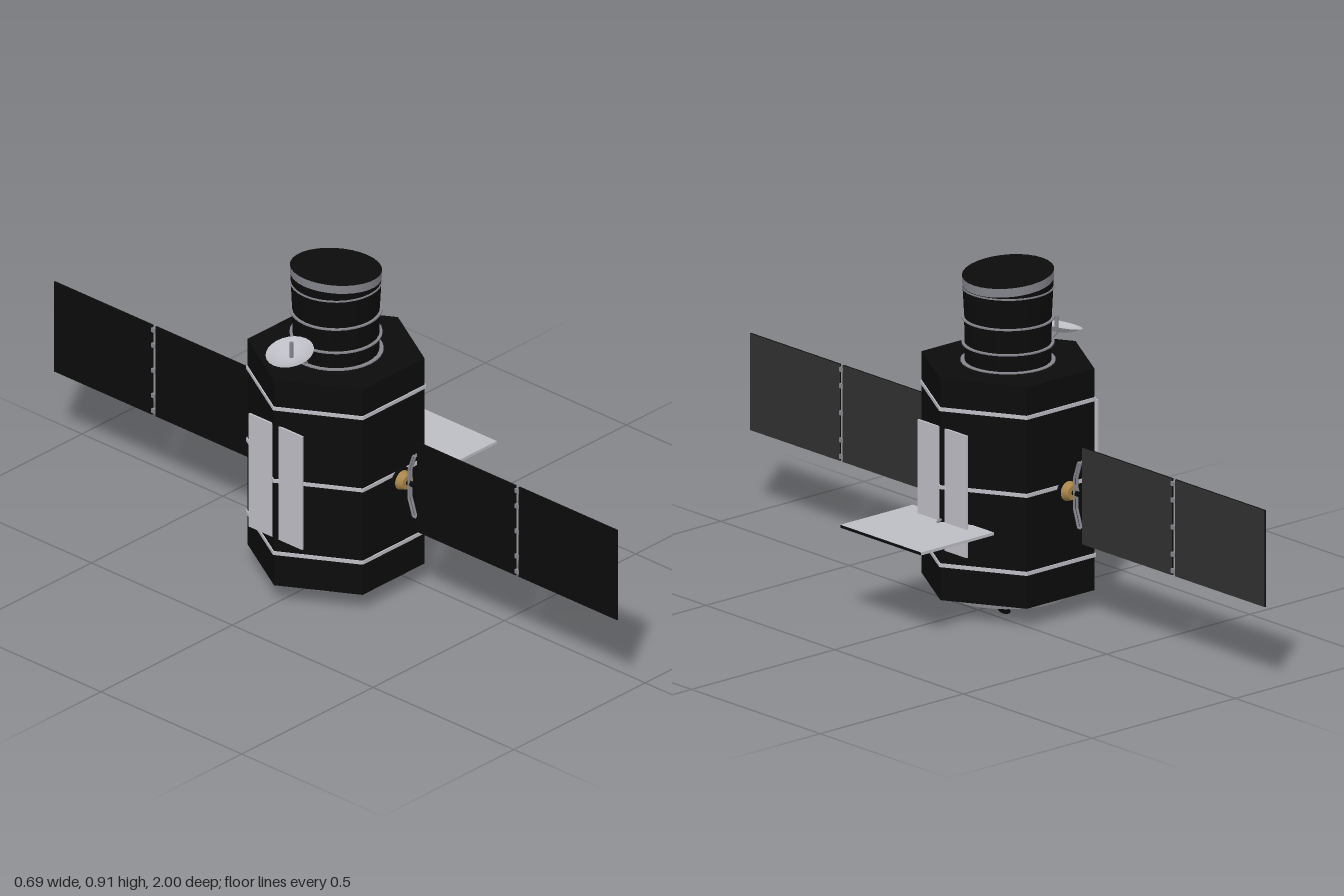
import * as THREE from 'three';

const mat = (name, color) => Object.assign(new THREE.MeshStandardMaterial({ color }), { name });

export function createModel() {
  const root = new THREE.Group();
  root.name = 'spaceTelescope';
  const black = mat('black foil', 0x0b0b0b);
  const solar = mat('solar grey', 0x303030);
  const light = mat('light grey', 0xbcbcc4);
  const metal = mat('metal grey', 0x84848c);
  const gold = mat('gold', 0xa8854a);
  light.side = THREE.DoubleSide;
  const CX = -0.105; // axis of the body

  const add = (name, geo, material, x, y, z, parent = root) => {
    const m = new THREE.Mesh(geo, material);
    m.name = name;
    m.position.set(x, y, z);
    parent.add(m);
    return m;
  };
  const box = (name, w, h, d, material, x, y, z, parent) =>
    add(name, new THREE.BoxGeometry(w, h, d), material, x, y, z, parent);
  const cyl = (name, rt, rb, h, material, x, y, z, parent, seg = 32) =>
    add(name, new THREE.CylinderGeometry(rt, rb, h, seg), material, x, y, z, parent);
  const hex = (name, r, h, material, y) => {
    const g = new THREE.CylinderGeometry(r, r, h, 6, 1, false, Math.PI / 2).toNonIndexed();
    g.computeVertexNormals();
    return add(name, g, material, CX, y, 0);
  };
  // Straight round bar between two points
  const bar = (name, a, b, r, material, parent = root) => {
    const path = new THREE.LineCurve3(new THREE.Vector3(...a), new THREE.Vector3(...b));
    return add(name, new THREE.TubeGeometry(path, 1, r, 8), material, 0, 0, 0, parent);
  };

  // Hexagonal body with three hoops
  hex('body', 0.236, 0.605, black, 0.3575);
  for (const y of [0.151, 0.364, 0.577]) hex('bodyHoop', 0.24, 0.01, light, y);

  // Telescope barrel, flared near a slanted top
  const slant = (g, above) => {
    const p = g.attributes.position;
    for (let i = 0; i < p.count; i++) if (p.getY(i) > above) p.setY(i, p.getY(i) - 0.1 * p.getX(i));
    return g;
  };
  cyl('barrelLower', 0.114, 0.113, 0.12, black, CX, 0.72, 0);
  add('barrelUpper', slant(new THREE.CylinderGeometry(0.119, 0.114, 0.1, 32), 0), black, CX, 0.83, 0);
  add('slantedRim', slant(new THREE.CylinderGeometry(0.12, 0.119, 0.024, 32), -1), [metal, black, metal], CX, 0.889, 0);
  for (const y of [0.71, 0.779, 0.862]) cyl('barrelRing', 0.121, 0.121, 0.004, metal, CX, y, 0);
  cyl('barrelBaseRing', 0.124, 0.124, 0.004, metal, CX, 0.661, 0);

  // Paired radiator plates on both side corners
  for (const x of [-0.333, 0.123])
    for (const s of [-1, 1]) box('sidePlate', 0.006, 0.333, 0.084, light, x, 0.358, s * 0.053);

  // Open door with its hinge
  add('door', new THREE.BoxGeometry(0.254, 0.008, 0.314),
    [black, light, light, light, light, light], 0.214, 0.265, -0.002);
  bar('doorHinge', [0.125, 0.277, 0], [0.145, 0.268, 0], 0.004, metal);

  // Solar wings, mirrored front and back
  for (const s of [1, -1]) {
    const wing = new THREE.Group();
    wing.name = s > 0 ? 'frontWing' : 'backWing';
    wing.position.x = CX;
    if (s < 0) wing.scale.z = -1;
    root.add(wing);
    const faces = [solar, black, black, black, black, black];
    for (const z of [0.465, 0.8255])
      add('solarPanel', new THREE.BoxGeometry(0.005, 0.264, 0.349), faces, 0, 0.359, z, wing);
    for (const y of [0.24, 0.285, 0.359, 0.433, 0.478])
      box('panelHinge', 0.01, 0.012, 0.014, metal, 0, y, 0.645, wing);
    // Mount: shaft, dark collar and gold drive
    const round = (name, rt, rb, h, m, z) => {
      cyl(name, rt, rb, h, m, 0, 0.359, z, wing, 24).rotation.x = Math.PI / 2;
    };
    round('shaft', 0.007, 0.007, 0.08, black, 0.235);
    round('collar', 0.036, 0.036, 0.005, black, 0.232);
    round('drive', 0.02, 0.027, 0.02, gold, 0.245);
    // Bent bracket holding the panel
    for (const x of [-0.005, 0.005]) {
      const pts = [[0.292, 0.448], [0.279, 0.448], [0.263, 0.4], [0.263, 0.318], [0.279, 0.27], [0.292, 0.27]];
      for (let i = 0; i < 5; i++)
        bar('bracket', [x, pts[i][1], pts[i][0]], [x, pts[i + 1][1], pts[i + 1][0]], 0.0035, metal, wing);
    }
  }

  // Tilted dish antenna
  const dish = new THREE.Group();
  dish.name = 'dish';
  dish.position.set(-0.276, 0.7, 0);
  dish.rotation.z = 0.25;
  root.add(dish);
  const bowl = [];
  for (let i = 0; i <= 6; i++) bowl.push(new THREE.Vector2(0.064 * i / 6, 0.02 * (i / 6) ** 2));
  add('bowl', new THREE.LatheGeometry(bowl, 24), light, 0, 0, 0, dish);
  cyl('feed', 0.005, 0.005, 0.044, metal, -0.274, 0.723, 0, root, 12);
  bar('dishArm', [-0.276, 0.7, 0], [-0.212, 0.662, 0], 0.005, metal);

  // Base disc with pin and four splayed nozzles
  add('baseDisc', new THREE.CylinderGeometry(0.17, 0.17, 0.022, 40), [metal, metal, black], CX, 0.045, 0);
  cyl('basePin', 0.01, 0.01, 0.036, light, -0.188, 0.018, 0, root, 12);
  for (const [x, tilt] of [[-0.181, 0], [-0.022, 0.75]])
    for (const s of [-1, 1]) {
      const n = new THREE.Group();
      n.name = 'nozzle';
      n.position.set(x, 0.032, s * 0.085);
      n.rotation.set(-s * 0.6, 0, tilt);
      root.add(n);
      cyl('nozzleNeck', 0.011, 0.011, 0.018, light, 0, 0, 0, n, 12);
      add('nozzleBell', new THREE.CylinderGeometry(0.011, 0.017, 0.016, 16), [metal, metal, black], 0, -0.012, 0, n);
    }
  return root;
}
